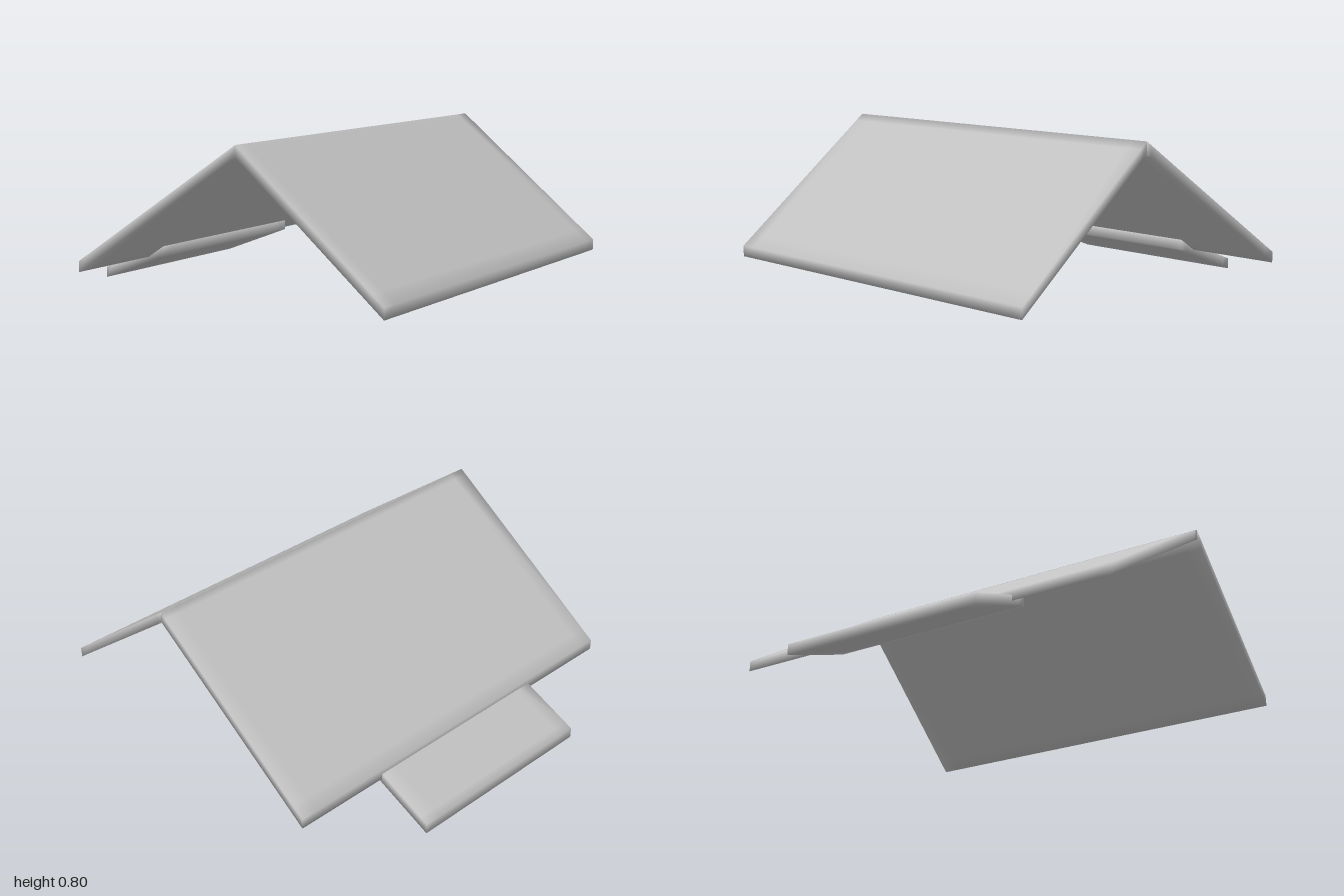
import * as THREE from 'three';
import { mergeVertices } from 'three/addons/utils/BufferGeometryUtils.js';

// Sloping slab with vertical ends and softly shaded borders.
// (x0,y0) and (x1,y1) are the ends of its top line, t its vertical thickness.
function slab(name, material, [x0, y0], [x1, y1], z0, z1, t, insetStart, insetEnd, insetZ) {
  let geo = new THREE.BoxGeometry(3, 1, 3, 3, 1, 3);
  const xs = [x0, x0 + insetStart, x1 - insetEnd, x1];
  const zs = [z0, z0 + insetZ, z1 - insetZ, z1];
  const p = geo.attributes.position;
  for (let i = 0; i < p.count; i++) {
    const x = xs[Math.round(p.getX(i) + 1.5)];
    const z = zs[Math.round(p.getZ(i) + 1.5)];
    const top = y0 + (y1 - y0) * (x - x0) / (x1 - x0);
    p.setXYZ(i, x, p.getY(i) > 0 ? top : top - t, z);
  }
  // weld the faces so the shading rolls over the edges
  geo.deleteAttribute('normal');
  geo.deleteAttribute('uv');
  geo = mergeVertices(geo);
  geo.computeVertexNormals();
  const mesh = new THREE.Mesh(geo, material);
  mesh.name = name;
  return mesh;
}

export function createModel() {
  const group = new THREE.Group();
  group.name = 'gableRoof';
  const grey = new THREE.MeshStandardMaterial({ color: 0xc0c0c0 });
  grey.name = 'roof grey';
  const ridge = [0.24, 0.8];

  // two main slopes meeting at the ridge
  group.add(slab('rightSlope', grey, [-0.71, 0.193], ridge, -0.975, 0.975, 0.053, 0.06, 0.03, 0.08));
  group.add(slab('leftSlope', grey, ridge, [1, 0.193], -0.975, 0.975, 0.053, 0.04, 0.06, 0.08));
  // small porch roof tucked under the right eave
  group.add(slab('porchRoof', grey, [-1, 0.057], [-0.61, 0.207], -0.495, 0.495, 0.053, 0.04, 0.04, 0.08));
  return group;
}
